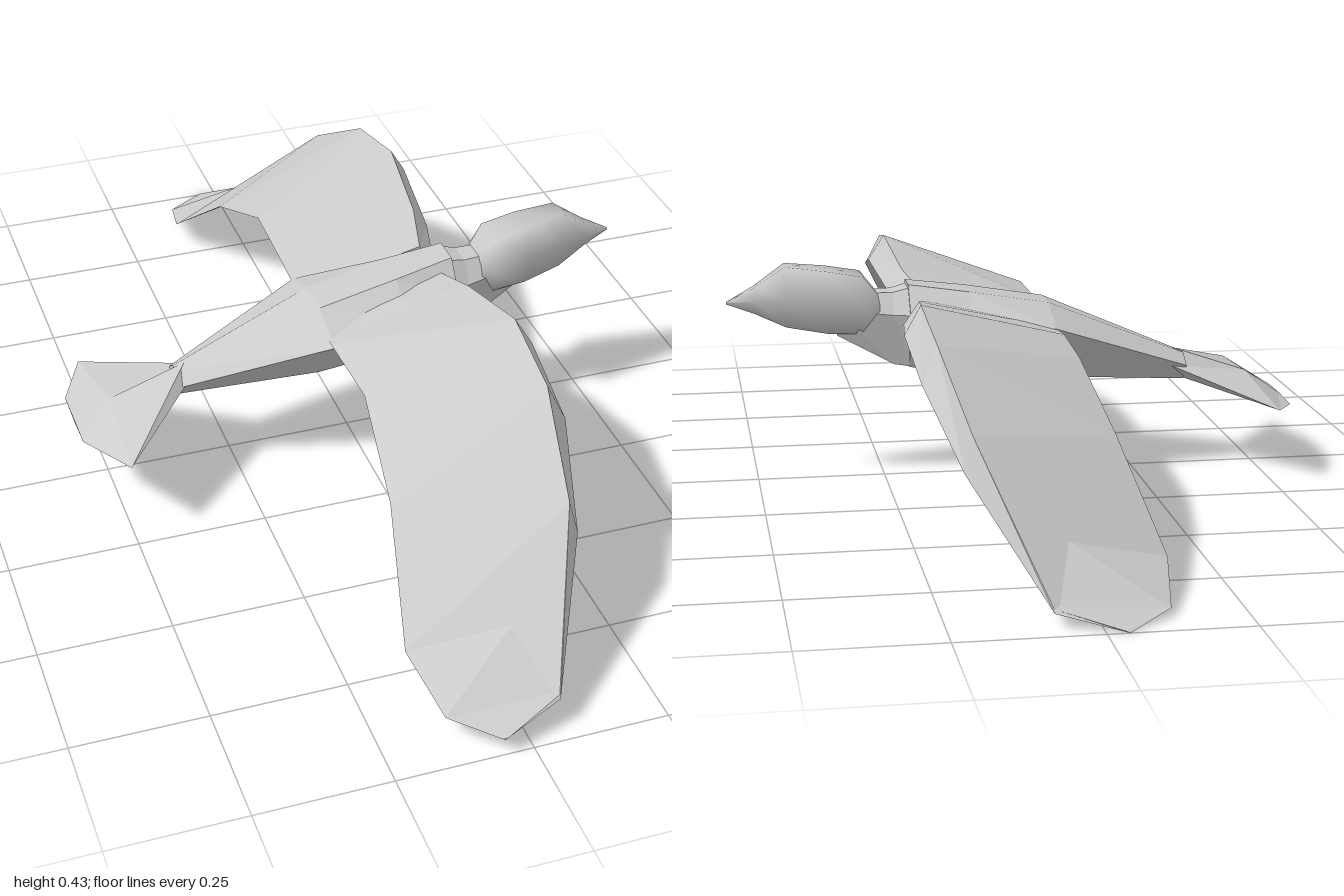
import * as THREE from 'three';

// Closed loft through rings of [x, y, z] points, wound outward by its signed volume.
function loft(name, rings, smooth = false) {
  const n = rings[0].length;
  const pts = rings.flat();
  let index = [];
  for (let r = 0; r < rings.length - 1; r++) {
    for (let i = 0; i < n; i++) {
      const a = r * n + i, b = r * n + (i + 1) % n;
      index.push(a, b, b + n, a, b + n, a + n);
    }
  }
  const last = (rings.length - 1) * n;
  for (let i = 1; i < n - 1; i++) {
    index.push(0, i + 1, i, last, last + i, last + i + 1);
  }
  const v = pts.map(p => new THREE.Vector3(...p));
  let volume = 0;
  for (let i = 0; i < index.length; i += 3) {
    volume += v[index[i]].dot(v[index[i + 1]].clone().cross(v[index[i + 2]]));
  }
  if (volume < 0) index.reverse();

  const geometry = new THREE.BufferGeometry().setFromPoints(v);
  geometry.setIndex(index);
  geometry.computeVertexNormals();
  const mesh = new THREE.Mesh(geometry, new THREE.MeshStandardMaterial({
    color: 0xcccccc, flatShading: !smooth, side: THREE.DoubleSide,
  }));
  mesh.name = name;
  return mesh;
}

// Six-sided cross-section at x: wide at the shoulders, narrower above and below.
function section([x, z, halfWidth, top, shoulder, bottom, topWidth, bottomWidth]) {
  return [
    [x, top, z + topWidth], [x, shoulder, z + halfWidth], [x, bottom, z + bottomWidth],
    [x, bottom, z - bottomWidth], [x, shoulder, z - halfWidth], [x, top, z - topWidth],
  ];
}

// Wing stations from root to tip: ridge, lower front edge, trailing edge.
const wingStations = [
  [[0.17, 0.36, 0.05], [0.20, 0.325, 0.05], [-0.085, 0.30, 0.05]],
  [[0.195, 0.383, 0.16], [0.225, 0.34, 0.16], [-0.085, 0.31, 0.16]],
  [[0.213, 0.418, 0.35], [0.245, 0.365, 0.36], [-0.08, 0.31, 0.35]],
  [[0.205, 0.385, 0.53], [0.235, 0.32, 0.55], [-0.105, 0.225, 0.57]],
  [[0.17, 0.275, 0.73], [0.185, 0.212, 0.74], [-0.152, 0.07, 0.79]],
  [[0.07, 0.047, 0.955], [0.07, 0.041, 0.96], [-0.128, 0.03, 0.93]],
  [[-0.04, 0.02, 1], [-0.045, 0.017, 1], [-0.05, 0.018, 0.998]],
];

function makeWing(name, side) {
  // A slight bank and turn makes the two wings sit differently.
  const rings = wingStations.map(ring => ring.map(([x, y, z]) =>
    [x - 0.008 * side * z, y + 0.017 * side * z, side * z]));
  return loft(name, rings);
}

export function createModel() {
  const bird = new THREE.Group();
  bird.name = 'bird';

  // Body, tapering back to the tail root and forward into the neck
  bird.add(loft('body', [
    [-0.36, 0.02, 0.04, 0.225, 0.205, 0.172, 0.01, 0.012],
    [-0.08, 0.035, 0.133, 0.34, 0.305, 0.188, 0.04, 0.035],
    [0.08, 0.025, 0.105, 0.368, 0.32, 0.205, 0.04, 0.045],
    [0.20, 0.02, 0.075, 0.385, 0.325, 0.222, 0.03, 0.04],
  ].map(section)));

  bird.add(loft('neck', [
    [0.19, 0.02, 0.07, 0.38, 0.33, 0.222, 0.03, 0.04],
    [0.23, 0.018, 0.055, 0.37, 0.33, 0.228, 0.025, 0.035],
    [0.34, 0.012, 0.04, 0.37, 0.34, 0.288, 0.02, 0.025],
  ].map(section)));

  // Head running smoothly into the beak
  bird.add(loft('head', [
    [0.25, 0.015, 0.04, 0.355, 0.335, 0.305, 0.02, 0.02],
    [0.29, 0.015, 0.074, 0.405, 0.345, 0.291, 0.038, 0.035],
    [0.36, 0.01, 0.06, 0.418, 0.36, 0.295, 0.035, 0.035],
    [0.44, 0.006, 0.041, 0.428, 0.365, 0.309, 0.024, 0.024],
    [0.50, 0.002, 0.024, 0.388, 0.362, 0.336, 0.012, 0.012],
    [0.555, 0, 0.002, 0.359, 0.357, 0.355, 0.001, 0.001],
  ].map(section), true));

  // Fanned tail: right rim, top, left rim, underside
  bird.add(loft('tail', [
    [[-0.33, 0.205, -0.02], [-0.34, 0.234, 0.02], [-0.35, 0.205, 0.06], [-0.36, 0.172, 0.02]],
    [[-0.51, 0.145, -0.18], [-0.49, 0.183, 0.02], [-0.50, 0.165, 0.23], [-0.48, 0.137, 0.03]],
    [[-0.56, 0.132, -0.08], [-0.56, 0.136, 0.005], [-0.56, 0.136, 0.08], [-0.56, 0.131, 0.005]],
  ]));

  bird.add(makeWing('leftWing', 1), makeWing('rightWing', -1));
  return bird;
}
